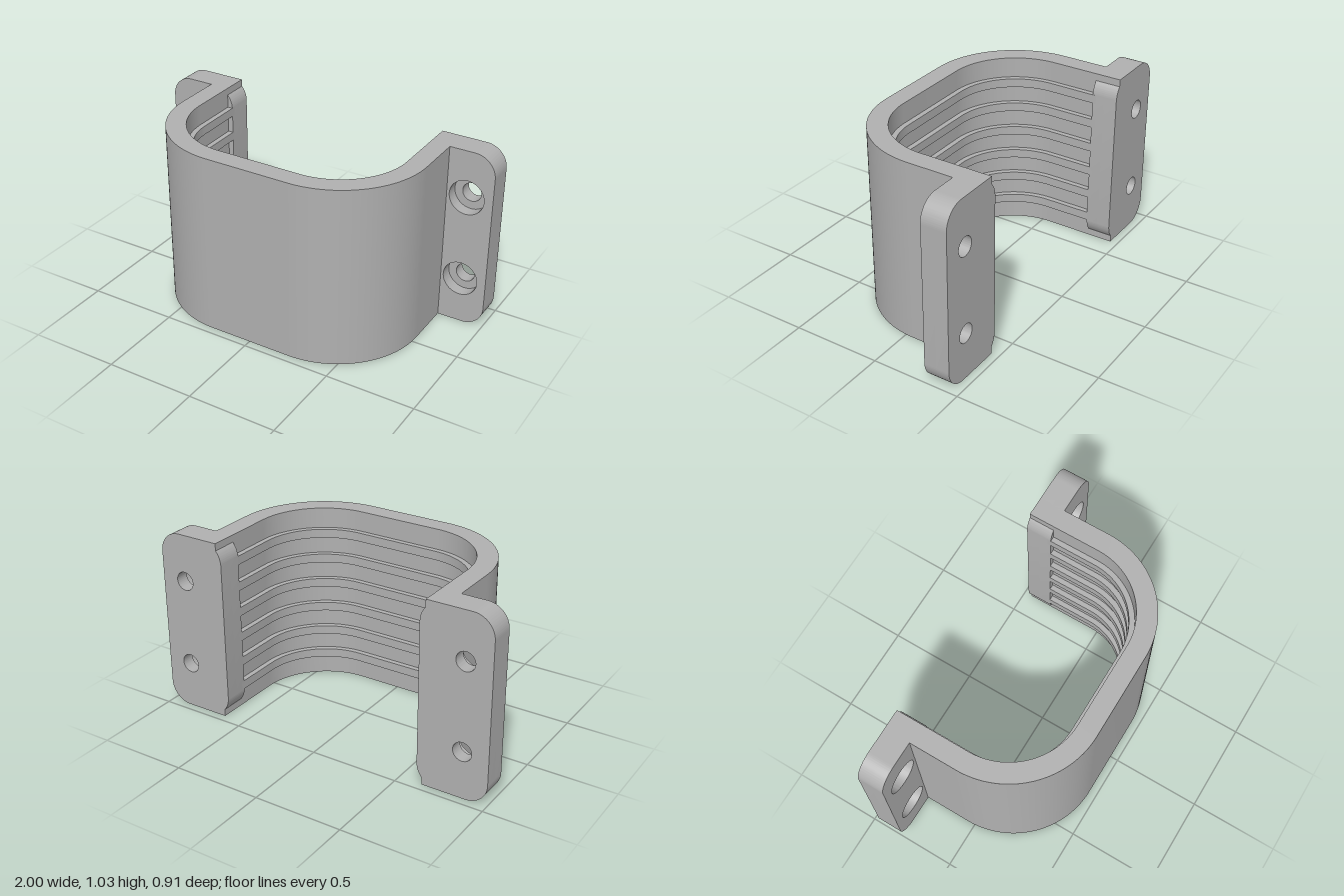
import * as THREE from 'three';
import { toCreasedNormals } from 'three/addons/utils/BufferGeometryUtils.js';

const H = 1.03;            // overall height
const BACK = -0.455;       // rear mounting plane
const PLATE_FRONT = -0.31; // front of the flanges
const CX = 0.24, CZ = -0.045; // centre of the bend arcs

// U-shaped band between two bend radii, drawn as (x, -z)
function bandShape(rOuter, rInner, zEnd) {
  const s = new THREE.Shape();
  s.moveTo(CX + rOuter, -zEnd);
  s.lineTo(CX + rOuter, -CZ);
  s.absarc(CX, -CZ, rOuter, 0, -Math.PI / 2, true);
  s.absarc(-CX, -CZ, rOuter, -Math.PI / 2, -Math.PI, true);
  s.lineTo(-CX - rOuter, -zEnd);
  s.lineTo(-CX - rInner, -zEnd);
  s.lineTo(-CX - rInner, -CZ);
  s.absarc(-CX, -CZ, rInner, -Math.PI, -Math.PI / 2, false);
  s.absarc(CX, -CZ, rInner, -Math.PI / 2, 0, false);
  s.lineTo(CX + rInner, -zEnd);
  s.closePath();
  return s;
}

// Rounded flange outline with two screw holes
function flangeShape(holeRadius) {
  const x0 = 0.6, x1 = 1, r = 0.12;
  const s = new THREE.Shape();
  s.absarc(x1 - r, r, r, -Math.PI / 2, 0, false);
  s.absarc(x1 - r, H - r, r, 0, Math.PI / 2, false);
  s.absarc(x0 + r, H - r, r, Math.PI / 2, Math.PI, false);
  s.absarc(x0 + r, r, r, Math.PI, Math.PI * 1.5, false);
  s.closePath();
  for (const y of [0.267, 0.763]) {
    const hole = new THREE.Path();
    hole.absarc(0.853, y, holeRadius, 0, Math.PI * 2, true);
    s.holes.push(hole);
  }
  return s;
}

function extrude(shape, depth) {
  const g = new THREE.ExtrudeGeometry(shape, { depth, bevelEnabled: false, curveSegments: 32 });
  return toCreasedNormals(g, 0.5);
}

export function createModel() {
  const model = new THREE.Group();
  model.name = 'pipeClamp';
  const grey = new THREE.MeshStandardMaterial({ color: 0xb0b0b0 });
  grey.name = 'grey';

  const add = (parent, name, geometry) => {
    const mesh = new THREE.Mesh(geometry, grey);
    mesh.name = name;
    parent.add(mesh);
    return mesh;
  };

  // Curved clamp wall
  const wall = extrude(bandShape(0.5, 0.39, BACK), H);
  wall.rotateX(-Math.PI / 2);
  add(model, 'clampWall', wall);

  // Six grip ribs along the inside
  const rib = extrude(bandShape(0.395, 0.36, PLATE_FRONT - 0.02), 0.05);
  rib.rotateX(-Math.PI / 2);
  for (let i = 0; i < 6; i++) {
    add(model, 'gripRib' + (i + 1), rib).position.y = H / 2 - 0.025 + (i - 2.5) * 0.15;
  }

  // Flanges: narrow bore at the back, wide counterbore in front
  const step = 0.075;
  const backLayer = extrude(flangeShape(0.053), step);
  const frontLayer = extrude(flangeShape(0.098), PLATE_FRONT - BACK - step);
  for (const [name, turn] of [['leftFlange', 0], ['rightFlange', Math.PI]]) {
    const flange = new THREE.Group();
    flange.name = name;
    const back = add(flange, 'boreLayer', backLayer);
    const front = add(flange, 'counterboreLayer', frontLayer);
    back.position.z = BACK;
    front.position.z = BACK + step;
    // The outline is symmetric, so the other side is simply shifted and turned
    if (turn) {
      for (const m of [back, front]) {
        m.rotation.z = turn;
        m.position.y = H;
      }
    }
    model.add(flange);
  }
  return model;
}
